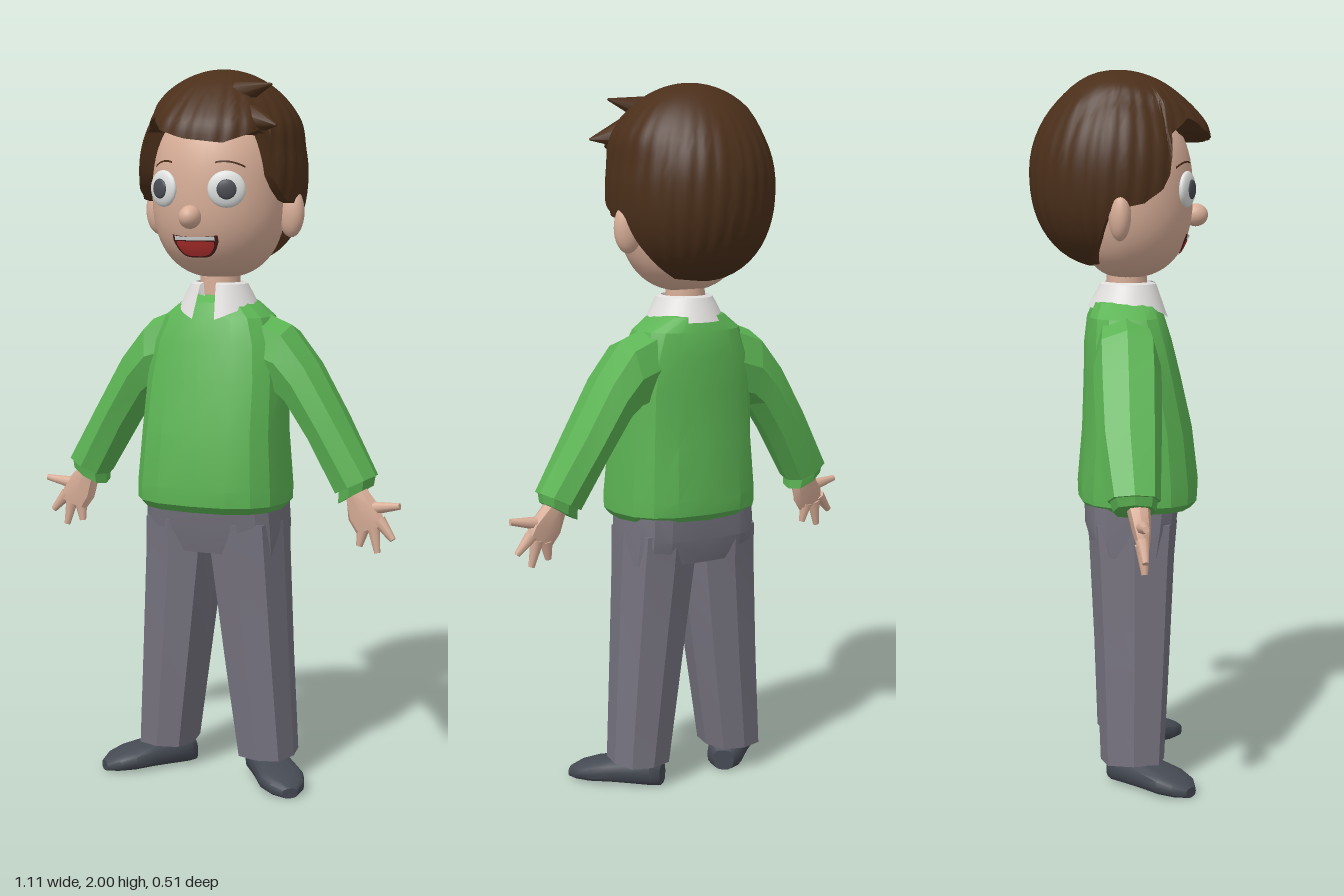
import * as THREE from 'three';
import { toCreasedNormals } from 'three/addons/utils/BufferGeometryUtils.js';

const V = (x, y, z) => new THREE.Vector3(x, y, z);
const mat = (name, color, side = THREE.FrontSide) => {
  const m = new THREE.MeshStandardMaterial({ color, side });
  m.name = name;
  return m;
};

// Skin closed rows of points and cap both ends; faces are turned outward by signed volume
function skin(rows, crease) {
  const n = rows[0].length, tris = [];
  for (let i = 0; i < rows.length - 1; i++)
    for (let j = 0; j < n; j++) {
      const k = (j + 1) % n, p = rows[i], q = rows[i + 1];
      tris.push([p[j], p[k], q[j]], [p[k], q[k], q[j]]);
    }
  [rows[0], rows[rows.length - 1]].forEach((row, end) => {
    const c = row.reduce((s, p) => s.add(p), V(0, 0, 0)).divideScalar(n);
    for (let j = 0; j < n; j++) {
      const k = (j + 1) % n;
      tris.push(end ? [c, row[j], row[k]] : [c, row[k], row[j]]);
    }
  });
  const o = rows[0][0];
  const volume = tris.reduce((s, [a, b, c]) =>
    s + a.clone().sub(o).dot(b.clone().sub(o).cross(c.clone().sub(o))), 0);
  const pts = tris.flatMap(([a, b, c]) => (volume < 0 ? [a, c, b] : [a, b, c]));
  return toCreasedNormals(new THREE.BufferGeometry().setFromPoints(pts), crease);
}

// Loft through rounded-square sections [centre, u, v]
function loft(sections, n, power = 2, crease = 0.2) {
  const f = (t) => Math.sign(t) * Math.pow(Math.abs(t), 2 / power);
  return skin(sections.map(([c, u, v]) => Array.from({ length: n }, (_, j) => {
    const a = (j / n) * Math.PI * 2;
    return c.clone().addScaledVector(u, f(Math.cos(a))).addScaledVector(v, f(Math.sin(a)));
  })), crease);
}
// Level section, and a section between an outer and an inner point
const level = (y, cx, rx, zf, zb) => [V(cx, y, (zf + zb) / 2), V(rx, 0, 0), V(0, 0, (zf - zb) / 2)];
const across = (s, ox, oy, ix, iy, zf, zb) => [
  V(s * (ox + ix) / 2, (oy + iy) / 2, (zf + zb) / 2),
  V(s * (ox - ix) / 2, (oy - iy) / 2, 0), V(0, 0, (zf - zb) / 2)];

// Horizontal fullness of the head at a height from -1 to 1
const full = (t, p) => Math.pow(Math.max(0, 1 - Math.pow(Math.abs(t), p)), 1 / p);
const headFull = (y) => full((y - 1.66) / (y > 1.66 ? 0.25 : 0.235), 2.4);
const faceZ = (x, y) => 0.02 + 0.185 * Math.sqrt(Math.max(0, headFull(y) ** 2 - (x / 0.19) ** 2));

// Thin patch lying on the face between two curves
function facePatch(cx, half, top, bottom, lift) {
  const g = new THREE.PlaneGeometry(2, 1, 16, 5), p = g.attributes.position;
  for (let i = 0; i < p.count; i++) {
    const u = p.getX(i), x = cx + u * half;
    const y = THREE.MathUtils.lerp(bottom(u), top(u), p.getY(i) + 0.5);
    p.setXYZ(i, x, y, faceZ(x, y) + lift);
  }
  g.computeVertexNormals();
  return g;
}

function headGeometry() {
  const rows = [];
  for (let i = 1; i < 32; i++) {
    const t = Math.cos((i / 32) * Math.PI), y = 1.66 + t * (t > 0 ? 0.25 : 0.235), h = headFull(y);
    rows.push(Array.from({ length: 40 }, (_, j) => {
      const a = (j / 40) * Math.PI * 2, c = Math.cos(a);
      return V(0.19 * h * Math.sin(a), y, 0.02 + (c > 0 ? 0.185 : 0.15) * h * c);
    }));
  }
  return skin(rows, 1);
}

// Hairline height by angle in degrees from the front towards the left
const hairline = [[-180, 1.45], [-122, 1.46], [-108, 1.53], [-97, 1.62], [-75, 1.64], [-62, 1.68],
  [-57, 1.72], [-53, 1.83], [-34, 1.865], [-20, 1.83], [0, 1.81], [25, 1.80], [50, 1.83], [56, 1.82],
  [60, 1.71], [66, 1.67], [75, 1.64], [97, 1.62], [108, 1.53], [122, 1.46], [180, 1.45]];
function hairlineAt(d) {
  const k = hairline.findIndex((p) => p[0] >= d);
  if (k < 1) return hairline[0][1];
  const [a, b] = [hairline[k - 1], hairline[k]];
  return THREE.MathUtils.lerp(a[1], b[1], (d - a[0]) / (b[0] - a[0]));
}

function hairGeometry() {
  const rows = [], N = 144, M = 26, S = THREE.MathUtils.smoothstep;
  for (let i = 1; i <= M + 1; i++) {
    const v = Math.min(i, M) / M, lip = i > M ? 0.72 : 1;
    rows.push(Array.from({ length: N }, (_, j) => {
      const d = -180 + (j * 360) / N, a = (d * Math.PI) / 180;
      const t = Math.cos(v * Math.acos((hairlineAt(d) - 1.72) / 0.28));
      const h = full(t, t > 0 ? 2 : 2.3);
      // combed locks, fringe volume and a step along the parting
      const locks = 0.005 * Math.abs(Math.sin(15 * a + 3 * v)) * S(v, 0.15, 0.5);
      const fringe = 0.02 * S(v, 0.5, 1) * S(d, -42, -15) * (1 - S(d, 40, 58));
      const x0 = 0.23 * h * Math.sin(a), z0 = 0.243 * h * Math.cos(a);
      const step = 0.012 * S(x0, -0.16, -0.13) * S(z0, -0.18, -0.05) * S(t, 0.2, 0.5);
      const r = (1 + (locks + fringe + step) / 0.24) * lip;
      return V(x0 * r, 1.72 + t * 0.27 + step * 0.8, z0 * r - 0.004);
    }));
  }
  return skin(rows, 0.7);
}

export function createModel() {
  const model = new THREE.Group();
  model.name = 'boy';
  const skinMat = mat('skin', 0xd8ae98), hair = mat('hair brown', 0x4b2f1a);
  const green = mat('sweater green', 0x5cb454), grey = mat('trouser grey', 0x75727e);
  const slate = mat('shoe slate', 0x454a53), white = mat('collar white', 0xe0dedc, THREE.DoubleSide);
  const eyeWhite = mat('eye white', 0xdfe2e0), iris = mat('iris grey', 0x4a4d54);
  const red = mat('mouth red', 0xb8322f), dark = mat('mouth dark', 0x4a1c1a);

  const add = (name, geometry, material, parent = model) => {
    const m = new THREE.Mesh(geometry, material);
    m.name = name;
    parent.add(m);
    return m;
  };
  const ball = (name, material, r, pos, yaw = 0, parent = model) => {
    const m = add(name, new THREE.SphereGeometry(1, 24, 16), material, parent);
    m.scale.set(...r);
    m.position.set(...pos);
    m.rotation.y = yaw;
    return m;
  };
  const spike = (name, a, b, r, r2, material, parent = model, sides = 8) => {
    const dir = b.clone().sub(a);
    const m = add(name, new THREE.CylinderGeometry(r2, r, dir.length(), sides), material, parent);
    m.position.copy(a).add(b).multiplyScalar(0.5);
    m.quaternion.setFromUnitVectors(V(0, 1, 0), dir.normalize());
    return m;
  };

  // Head and face
  add('head', headGeometry(), skinMat);
  ball('nose', skinMat, [0.03, 0.032, 0.035], [0, 1.6, 0.213]);
  add('mouth', facePatch(0, 0.068, (u) => 1.545 + 0.006 * u * u, (u) => 1.488 + 0.045 * u ** 4, 0.003), dark);
  add('tongue', facePatch(0, 0.056, () => 1.533, (u) => 1.492 + 0.03 * u ** 4, 0.005), red);
  add('teeth', facePatch(0, 0.06, (u) => 1.545 + 0.003 * u * u, () => 1.536, 0.006), eyeWhite);

  // Hair with two loose tufts
  add('hair', hairGeometry(), hair);
  spike('hairTuft', V(0.08, 1.925, 0.09), V(0.195, 1.955, 0.11), 0.04, 0.003, hair);
  spike('hairTuft', V(0.14, 1.86, 0.12), V(0.228, 1.845, 0.155), 0.045, 0.003, hair);

  // Neck and open collar
  add('neck', new THREE.CylinderGeometry(0.055, 0.06, 0.19, 16), skinMat).position.set(0, 1.385, 0.02);
  const collar = new THREE.LatheGeometry([[0.06, 1.37], [0.066, 1.415], [0.08, 1.41], [0.114, 1.345]]
    .map((p) => new THREE.Vector2(...p)), 28, 0.3, Math.PI * 2 - 0.6);
  const cp = collar.attributes.position;
  for (let i = 0; i < cp.count; i++) {
    const r = Math.hypot(cp.getX(i), cp.getZ(i));
    if (r > 0.1) cp.setY(i, cp.getY(i) - 0.035 * Math.max(0, cp.getZ(i) / r) ** 4);
  }
  add('collar', toCreasedNormals(collar, 0.5), white).position.z = 0.025;

  // Sweater body
  add('sweater', loft([
    level(0.785, 0, 0.2, 0.205, -0.1), level(0.805, 0, 0.217, 0.222, -0.118),
    level(0.85, 0, 0.217, 0.224, -0.12), level(1.0, 0, 0.206, 0.206, -0.107),
    level(1.15, 0, 0.2, 0.172, -0.102), level(1.25, 0, 0.185, 0.147, -0.1),
    level(1.32, 0, 0.155, 0.125, -0.092), level(1.36, 0, 0.105, 0.105, -0.075),
    level(1.38, 0, 0.06, 0.08, -0.04)], 16, 2.6, 0.35), green);

  // Trouser seat
  add('trouserSeat', loft([
    level(0.82, 0, 0.195, 0.17, -0.1), level(0.73, 0, 0.2, 0.158, -0.1),
    level(0.66, 0, 0.2, 0.14, -0.08)], 16, 3.5, 0.3), grey);

  for (const s of [1, -1]) {
    const side = new THREE.Group();
    side.name = s > 0 ? 'leftSide' : 'rightSide';
    model.add(side);

    // Eye, brow and ear
    const eye = new THREE.Group();
    eye.name = 'eye';
    eye.position.set(s * 0.095, 1.675, faceZ(0.095, 1.675) + 0.002);
    eye.rotation.y = s * 0.42;
    side.add(eye);
    ball('eyeball', eyeWhite, [0.052, 0.05, 0.016], [0, 0, 0], 0, eye);
    ball('iris', iris, [0.027, 0.027, 0.008], [0, 0, 0.0135], 0, eye);
    const brow = (u) => 1.748 - 0.008 * u * u - 0.006 * u * s;
    add('eyebrow', facePatch(s * 0.1, 0.035, (u) => brow(u) + 0.003, (u) => brow(u) - 0.002, 0.004), hair, side);
    ball('ear', skinMat, [0.04, 0.07, 0.03], [s * 0.203, 1.61, -0.008], s * -0.25, side);

    // Sleeve and cuff
    add('sleeve', loft([
      across(s, 0.1, 1.345, 0.1, 1.12, 0.09, -0.07), across(s, 0.215, 1.3, 0.185, 1.1, 0.105, -0.08),
      across(s, 0.29, 1.205, 0.215, 1.08, 0.105, -0.08), across(s, 0.375, 1.06, 0.28, 0.985, 0.1, -0.075),
      across(s, 0.472, 0.895, 0.36, 0.84, 0.092, -0.05)], 8, 2.5), green, side);
    add('cuff', loft([
      across(s, 0.465, 0.9, 0.37, 0.85, 0.086, -0.045), across(s, 0.462, 0.866, 0.368, 0.812, 0.08, -0.035)],
      8, 2.5), green, side);

    // Hand
    add('palm', loft([
      across(s, 0.445, 0.865, 0.39, 0.835, 0.065, 0), across(s, 0.495, 0.81, 0.4, 0.77, 0.065, 0.015),
      across(s, 0.508, 0.765, 0.425, 0.735, 0.06, 0.028)], 8, 2.3, 0.6), skinMat, side);
    for (const [ax, ay, bx, by] of [[0.47, 0.808, 0.552, 0.82], [0.49, 0.775, 0.533, 0.725],
      [0.473, 0.76, 0.488, 0.685], [0.445, 0.755, 0.435, 0.7]])
      spike('finger', V(s * ax, ay, 0.04), V(s * bx, by, 0.046), 0.019, 0.009, skinMat, side);

    // Trouser leg
    add('trouserLeg', loft([
      level(0.75, s * 0.1, 0.1, 0.158, -0.095), level(0.65, s * 0.1025, 0.1025, 0.15, -0.085),
      level(0.35, s * 0.13, 0.09, 0.135, -0.07), level(0.07, s * 0.1575, 0.078, 0.12, -0.06)],
      8, 3), grey, side);

    // Shoe, toes turned out
    const shoe = add('shoe', loft([[-0.055, 0.03, 0.06], [-0.03, 0.052, 0.078], [0.03, 0.056, 0.082],
      [0.09, 0.06, 0.074], [0.15, 0.066, 0.06], [0.195, 0.052, 0.046], [0.225, 0.022, 0.028]]
      .map(([z, w, h]) => [V(0, h / 2, z), V(w, 0, 0), V(0, h / 2, 0)]), 16, 2.8, 0.7), slate, side);
    shoe.position.set(s * 0.143, 0, 0.018);
    shoe.rotation.y = s * 0.72;
  }
  return model;
}
